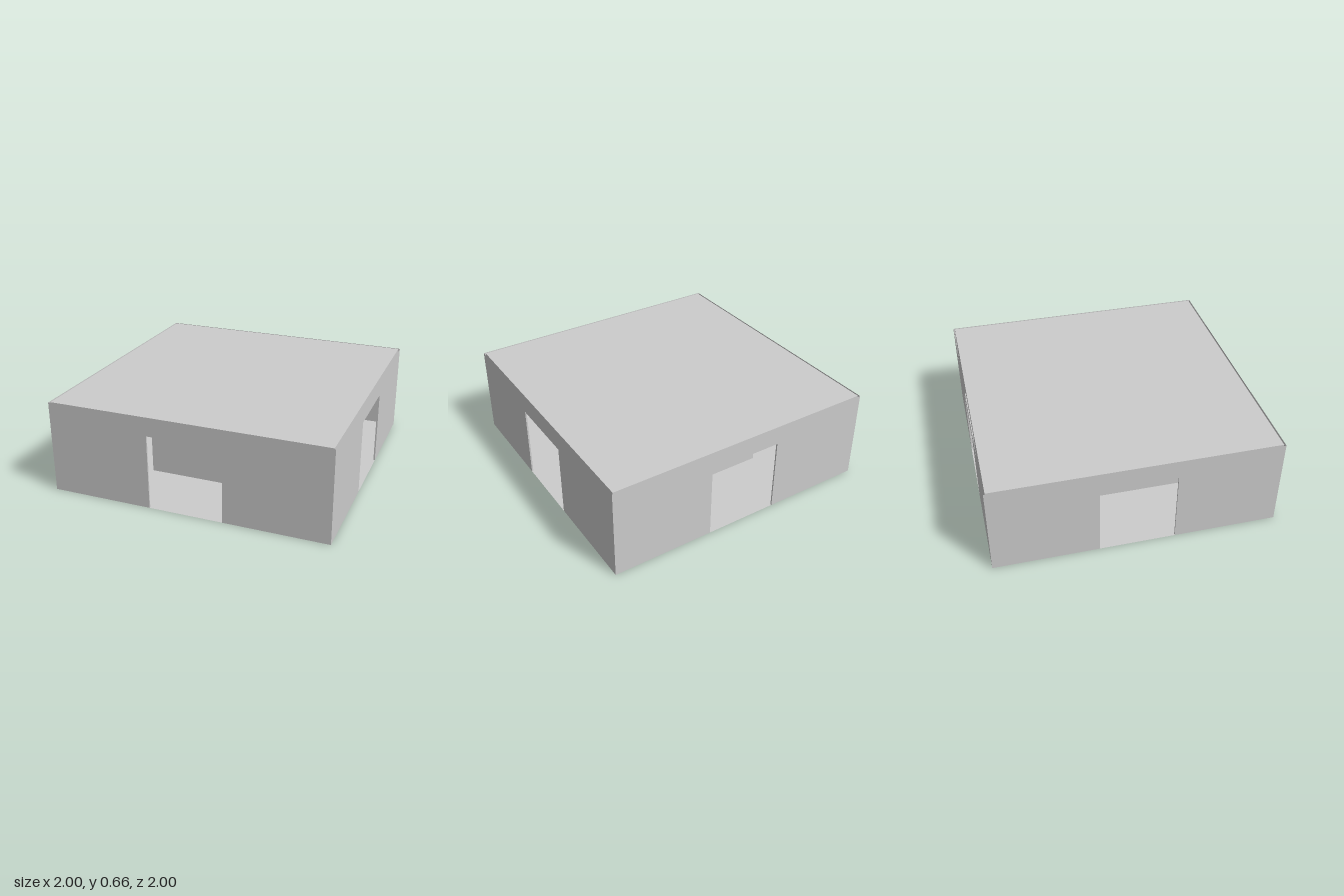
import * as THREE from 'three';

const OUTER = 1, INNER = 0.989;       // half widths of the outer and inner wall skins
const CORE = 0.495;                   // half width of the central core
const HEIGHT = 0.662;
const DOOR = 0.266, DOOR_TOP = 0.533; // door half width and height

const material = new THREE.MeshStandardMaterial({
  color: 0xcccccc, flatShading: true, side: THREE.DoubleSide,
});

function add(parent, name, geometry, x = 0, y = 0, z = 0) {
  const mesh = new THREE.Mesh(geometry, material);
  mesh.name = name;
  mesh.position.set(x, y, z);
  parent.add(mesh);
  return mesh;
}

// Wall outline with the doorway cut up from its foot
function wallSkin(half) {
  const points = [
    [-half, 0], [-DOOR, 0], [-DOOR, DOOR_TOP], [DOOR, DOOR_TOP],
    [DOOR, 0], [half, 0], [half, HEIGHT], [-half, HEIGHT],
  ].map(([x, y]) => new THREE.Vector2(x, y));
  return new THREE.ShapeGeometry(new THREE.Shape(points));
}

// One side of the building: outer skin, inner skin and the doorway joining them
function createWall(name) {
  const wall = new THREE.Group();
  wall.name = name;
  const depth = OUTER - INNER, mid = (OUTER + INNER) / 2;

  add(wall, 'outerWall', wallSkin(OUTER), 0, 0, OUTER);
  add(wall, 'innerWall', wallSkin(INNER).rotateY(Math.PI), 0, 0, INNER);

  const strip = new THREE.PlaneGeometry(2 * DOOR, depth);
  add(wall, 'doorSill', strip.clone().rotateX(-Math.PI / 2), 0, 0, mid);
  add(wall, 'doorLintel', strip.clone().rotateX(Math.PI / 2), 0, DOOR_TOP, mid);
  for (const side of [-1, 1]) {
    const jamb = new THREE.PlaneGeometry(depth, DOOR_TOP).rotateY(-side * Math.PI / 2);
    add(wall, side > 0 ? 'leftDoorJamb' : 'rightDoorJamb', jamb, side * DOOR, DOOR_TOP / 2, mid);
  }
  return wall;
}

export function createModel() {
  const model = new THREE.Group();
  model.name = 'squareBuilding';

  // Four matching walls
  ['frontWall', 'leftWall', 'backWall', 'rightWall'].forEach((name, i) => {
    const wall = createWall(name);
    wall.rotation.y = i * Math.PI / 2;
    model.add(wall);
  });

  // Floor and roof
  const slab = new THREE.PlaneGeometry(2 * INNER, 2 * INNER).rotateX(-Math.PI / 2);
  add(model, 'floor', slab);
  add(model, 'roof', slab.clone(), 0, HEIGHT, 0);

  // Square core from floor to ceiling, leaving a corridor around it
  const core = new THREE.CylinderGeometry(CORE * Math.SQRT2, CORE * Math.SQRT2, HEIGHT, 4, 1, true);
  add(model, 'centralCore', core.rotateY(Math.PI / 4), 0, HEIGHT / 2, 0);

  return model;
}
